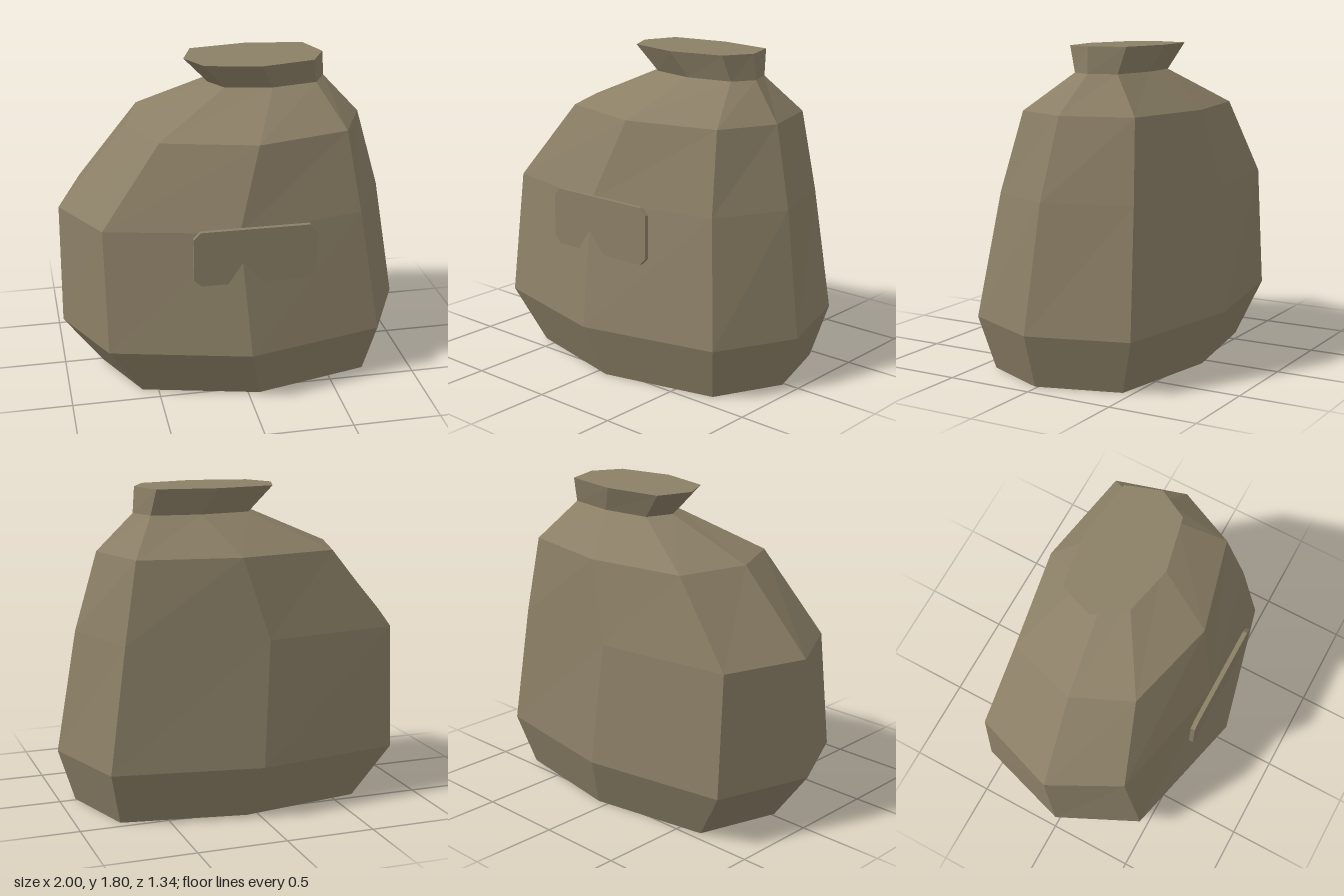
import * as THREE from 'three';

// Eight-sided sack outline [x, z], from the left side round by the front
const OUTLINE = [
  [1, 0.02], [0.78, 0.48], [0, 0.67], [-0.78, 0.48],
  [-1, 0.02], [-0.83, -0.53], [0, -0.67], [0.83, -0.53],
];

// Joins outline rings given as { y, cx, cz, sx, sz } into one surface
function loft(rings, capBottom, capTop) {
  const n = OUTLINE.length;
  const positions = [];
  const index = [];
  for (const r of rings) {
    for (const [x, z] of OUTLINE) positions.push(r.cx + x * r.sx, r.y, r.cz + z * r.sz);
  }
  for (let j = 0; j < rings.length - 1; j++) {
    for (let i = 0; i < n; i++) {
      const a = j * n + i;
      const b = j * n + ((i + 1) % n);
      index.push(a, a + n, b, b, a + n, b + n);
    }
  }
  const top = (rings.length - 1) * n;
  for (let i = 1; i < n - 1; i++) {
    if (capBottom) index.push(0, i, i + 1);
    if (capTop) index.push(top, top + i + 1, top + i);
  }
  const indexed = new THREE.BufferGeometry();
  indexed.setAttribute('position', new THREE.Float32BufferAttribute(positions, 3));
  indexed.setIndex(index);
  const geometry = indexed.toNonIndexed();
  geometry.computeVertexNormals();
  return geometry;
}

export function createModel() {
  const group = new THREE.Group();
  const cloth = new THREE.MeshStandardMaterial({ color: 0x8b7f66, flatShading: true });
  cloth.name = 'sackcloth';

  const add = (name, geometry) => {
    const mesh = new THREE.Mesh(geometry, cloth);
    mesh.name = name;
    group.add(mesh);
  };

  // Lumpy body leaning over to one side, drawn in at the tie
  const tie = { y: 1.66, cx: 0.235, cz: -0.125, sx: 0.34, sz: 0.276 };
  add('sackBody', loft([
    { y: 0, cx: 0.065, cz: 0, sx: 0.84, sz: 0.84 },
    { y: 0.3, cx: 0, cz: 0, sx: 1, sz: 1 },
    { y: 1, cx: -0.05, cz: -0.034, sx: 0.94, sz: 0.864 },
    { y: 1.45, cx: 0.0875, cz: -0.075, sx: 0.6825, sz: 0.716 },
    tie,
  ], true, false));

  // Flared mouth above the tie
  add('sackMouth', loft([
    tie,
    { y: 1.805, cx: 0.16, cz: -0.12, sx: 0.403, sz: 0.361 },
  ], false, true));

  // Label plate with clipped corners, partly sunk into the front
  const [x0, x1, y0, y1, c] = [-0.31, 0.38, 0.715, 1.035, 0.04];
  const outline = new THREE.Shape([
    [x0 + c, y0], [x1 - c, y0], [x1, y0 + c], [x1, y1 - c],
    [x1 - c, y1], [x0 + c, y1], [x0, y1 - c], [x0, y0 + c],
  ].map(([x, y]) => new THREE.Vector2(x, y)));
  const plate = new THREE.ExtrudeGeometry(outline, { depth: 0.026, bevelEnabled: false });
  plate.translate(0, 0, 0.548);
  add('frontLabel', plate);

  return group;
}
